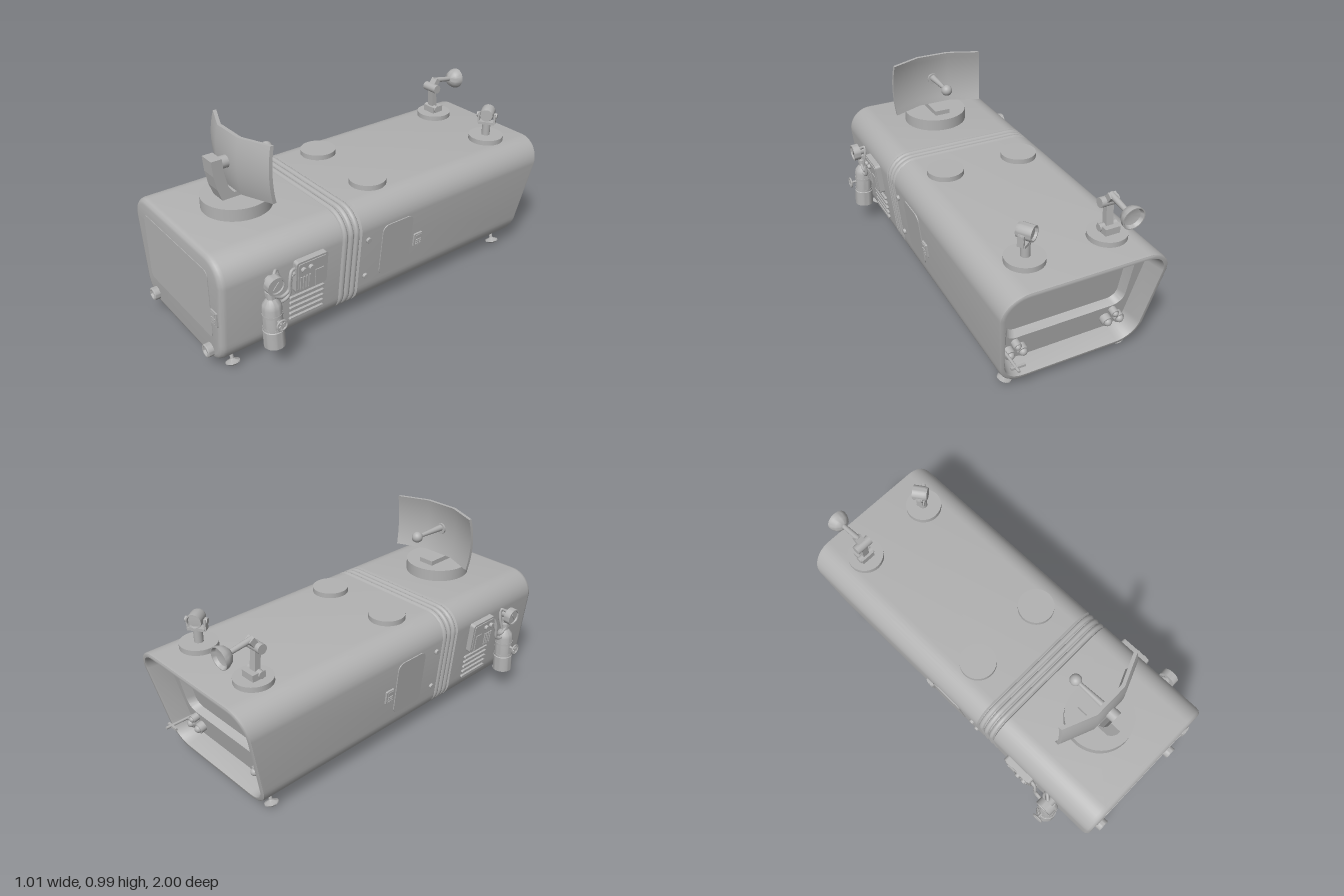
import * as THREE from 'three';
import { toCreasedNormals } from 'three/addons/utils/BufferGeometryUtils.js';

const SLOPE = 0.21; // lean of the tail end
const HALF = Math.PI / 2;

export function createModel() {
  const model = new THREE.Group();
  const grey = new THREE.MeshStandardMaterial({ color: 0xb2b2b2, side: THREE.DoubleSide });
  grey.name = 'plain grey';

  const add = (parent, name, geo, pos = [0, 0, 0], rot = [0, 0, 0]) => {
    const mesh = new THREE.Mesh(geo, grey);
    mesh.name = name;
    mesh.position.set(...pos);
    mesh.rotation.set(...rot);
    parent.add(mesh);
    return mesh;
  };
  const group = (parent, name, pos = [0, 0, 0], rot = [0, 0, 0]) => {
    const g = new THREE.Group();
    g.name = name;
    g.position.set(...pos);
    g.rotation.set(...rot);
    parent.add(g);
    return g;
  };
  const box = (w, h, d) => new THREE.BoxGeometry(w, h, d);
  const cyl = (r1, r2, h, n = 32) => new THREE.CylinderGeometry(r1, r2, h, n);
  const lathe = (pts, n = 32) => toCreasedNormals(
    new THREE.LatheGeometry(pts.map(p => new THREE.Vector2(...p)), n), 0.6);
  const tube = (pts, r) => new THREE.TubeGeometry(
    new THREE.CatmullRomCurve3(pts.map(p => new THREE.Vector3(...p))), 24, r, 8);
  const rod = (parent, name, a, b, r1, r2 = r1) => {
    const from = new THREE.Vector3(...a), dir = new THREE.Vector3(...b).sub(from);
    const m = add(parent, name, cyl(r2, r1, dir.length(), 16));
    m.position.copy(from).addScaledVector(dir, 0.5);
    m.quaternion.setFromUnitVectors(new THREE.Vector3(0, 1, 0), dir.normalize());
  };

  // Outline made of four corner arcs [centre x, centre y, radius], counter-clockwise
  const arcs = corners => corners.flatMap(([x, y, r], k) =>
    Array.from({ length: 11 }, (_, i) => {
      const a = (k + i / 10) * HALF;
      return new THREE.Vector2(x + r * Math.cos(a), y + r * Math.sin(a));
    }));
  const section = d => arcs([[0.285, 0.505, 0.125 - d], [-0.285, 0.505, 0.125 - d],
    [-0.245, 0.19, 0.13 - d], [0.245, 0.19, 0.13 - d]]);
  const rounded = (x, y, w, h, r) => {
    const a = w / 2 - r, b = h / 2 - r;
    return arcs([[x + a, y + b, r], [x - a, y + b, r], [x - a, y - b, r], [x + a, y - b, r]]);
  };
  const plate = (w, h, r, depth) => new THREE.ExtrudeGeometry(
    new THREE.Shape(rounded(0, 0, w, h, r)), { depth, bevelEnabled: false });
  const place = (pts, z, slope = 0) => pts.map(p =>
    new THREE.Vector3(p.x, p.y, z - slope * (p.y - 0.06)));

  // Skin over a row of equal outlines
  const loft = (rings, capStart, capEnd) => {
    const n = rings[0].length, pos = rings.flat().flatMap(p => [p.x, p.y, p.z]), idx = [];
    for (let i = 0; i < rings.length - 1; i++) for (let j = 0; j < n; j++) {
      const a = i * n + j, b = i * n + (j + 1) % n;
      idx.push(a, b, b + n, a, b + n, a + n);
    }
    const last = (rings.length - 1) * n;
    for (let j = 1; j < n - 1; j++) {
      if (capStart) idx.push(0, j + 1, j);
      if (capEnd) idx.push(last, last + j, last + j + 1);
    }
    const g = new THREE.BufferGeometry();
    g.setAttribute('position', new THREE.Float32BufferAttribute(pos, 3));
    g.setIndex(idx);
    return toCreasedNormals(g, 0.7);
  };

  // Hull: tail recess, slanted rim, ribbed joint, rounded nose
  const rings = [[-0.78, 0.045], [-0.872, 0.027], [-0.88, 0.022], [-0.88, 0.008], [-0.876, 0.002], [-0.865, 0]]
    .map(([z, d]) => place(section(d), z, SLOPE));
  rings.push(place(section(0), 0.222), place(section(0.012), 0.229));
  for (const c of [0.246, 0.28, 0.314]) for (let i = 0; i <= 8; i++) {
    const a = Math.PI * i / 8;
    rings.push(place(section(0.012 - 0.013 * Math.sin(a)), c - 0.014 * Math.cos(a)));
  }
  for (const [z, d] of [[0.331, 0.012], [0.338, 0], [0.94, 0], [0.956, 0.004], [0.967, 0.014], [0.97, 0.028]])
    rings.push(place(section(d), z));
  add(model, 'hull', loft(rings, false, true));

  // Tail wall with its sunken window
  const opening = rounded(0, 0.4, 0.62, 0.31, 0.06);
  const wallShape = new THREE.Shape(section(0.045));
  wallShape.holes.push(new THREE.Path(opening));
  const wall = new THREE.ShapeGeometry(wallShape);
  const wp = wall.attributes.position;
  for (let i = 0; i < wp.count; i++) wp.setZ(i, -0.78 - SLOPE * (wp.getY(i) - 0.06));
  wall.setIndex([...wall.index.array].reverse());
  wall.computeVertexNormals();
  add(model, 'tailWall', wall);
  add(model, 'tailWindow', loft([place(rounded(0, 0.4, 0.58, 0.27, 0.05), -0.74, SLOPE),
    place(opening, -0.78, SLOPE)], true, false));
  for (const s of [-1, 1]) {
    const lights = group(model, 'tailLights', [s * 0.255, 0.175, -0.805], [-0.208, 0, 0]);
    for (const [x, y, r] of [[-0.032, 0, 0.027], [0.032, 0, 0.027], [0, 0.045, 0.02]]) {
      add(lights, 'tailLight', cyl(r, r, 0.04, 24), [x, y, -0.012], [HALF, 0, 0]);
      add(lights, 'tailLens', new THREE.SphereGeometry(r * 0.75, 16, 10), [x, y, -0.03]);
    }
  }
  rod(model, 'tailBracket', [0.31, 0.19, -0.8], [0.31, 0.19, -0.96], 0.007);
  add(model, 'tailBracketBar', box(0.07, 0.012, 0.012), [0.3, 0.19, -0.93]);

  // Nose: windscreen, keypad and headlamps
  const keypad = (parent, pos, rot) => {
    const pad = group(parent, 'keypad', pos, rot);
    add(pad, 'keypadCase', plate(0.052, 0.075, 0.004, 0.01));
    add(pad, 'keypadScreen', box(0.036, 0.018, 0.004), [0, 0.022, 0.011]);
    for (let i = 0; i < 9; i++)
      add(pad, 'key', box(0.009, 0.009, 0.006), [(i % 3 - 1) * 0.012, -0.024 + Math.floor(i / 3) * 0.012, 0.012]);
  };
  add(model, 'windscreen', plate(0.61, 0.35, 0.03, 0.003), [0, 0.375, 0.97]);
  keypad(model, [0.338, 0.332, 0.968]);
  const lampProfile = [[0.033, 0], [0.033, 0.026], [0.029, 0.03], [0.023, 0.03], [0.021, 0.018], [0, 0.022]];
  for (const s of [-1, 1]) add(model, 'headlamp', lathe(lampProfile), [s * 0.268, 0.117, 0.97], [HALF, 0, 0]);

  // Feet and underside fans
  const footProfile = [[0, -0.011], [0.022, -0.009], [0.035, 0], [0.034, 0.005], [0.014, 0.013], [0.009, 0.018], [0.009, 0.075]];
  const fanProfile = [[0.088, 0.03], [0.085, 0.008], [0.072, 0], [0.055, 0.001], [0.05, 0.02],
    [0.035, 0.02], [0.032, 0.007], [0.015, 0.003], [0, 0.003]];
  for (const s of [-1, 1]) {
    for (const z of [0.885, -0.81]) add(model, 'foot', lathe(footProfile), [s * 0.303, 0.021, z], [0, 0, s * 0.33]);
    for (const z of [0.73, -0.73]) add(model, 'bellyFan', lathe(fanProfile), [s * 0.16, 0.032, z]);
  }

  // Belly hatch with grille and pipe
  add(model, 'bellyHatch', plate(0.25, 0.31, 0.02, 0.012), [0, 0.062, -0.41], [HALF, 0, 0]);
  for (let i = 0; i < 5; i++) add(model, 'bellySlat', box(0.014, 0.01, 0.22), [-0.08 + i * 0.04, 0.048, -0.42]);
  add(model, 'bellyBox', box(0.08, 0.016, 0.07), [-0.06, 0.054, -0.135]);
  add(model, 'bellyPipe', tube([[-0.04, 0.05, -0.16], [-0.02, 0.045, -0.2], [0.05, 0.045, -0.19], [0.07, 0.045, -0.23], [0.06, 0.05, -0.28]], 0.009));

  // Sides, built once and mirrored
  for (const s of [1, -1]) {
    const flank = group(model, s > 0 ? 'leftFlank' : 'rightFlank');
    flank.scale.x = s;
    const side = group(flank, 'sidePanels', [0.3925, 0.347, 0], [0, 0, -0.1107]);
    const out = [0, HALF, 0];
    add(side, 'door', plate(0.19, 0.3, 0.035, 0.005), [0, 0.003, 0], out);
    keypad(side, [0, -0.012, -0.14], out);
    for (const y of [-0.105, 0.11]) add(side, 'bolt', cyl(0.013, 0.015, 0.02, 16), [0.002, y, 0.182], [0, 0, -HALF]);
    add(side, 'controlBox', plate(0.17, 0.17, 0.014, 0.028), [0, 0.085, 0.523], out);
    add(side, 'controlFace', plate(0.15, 0.15, 0.01, 0.004), [0.028, 0.085, 0.523], out);
    for (const z of [0.575, 0.535]) add(side, 'knob', cyl(0.012, 0.014, 0.016, 20), [0.038, 0.129, z], [0, 0, -HALF]);
    for (let i = 0; i < 4; i++) add(side, 'controlSlat', box(0.008, 0.07, 0.008), [0.034, 0.055, 0.54 + i * 0.015]);
    add(side, 'controlScreen', box(0.008, 0.09, 0.045), [0.032, 0.055, 0.485]);
    for (let i = 0; i < 5; i++)
      add(side, 'ventSlat', plate(0.19, 0.016, 0.0075, 0.012), [0, -0.04 - i * 0.031, 0.527], out);

    // Gas bottle with straps, wheel, gauge and hoses
    const bottle = group(flank, 'gasBottle', [0.43, 0.133, 0.735], [0, 0, 0.045]);
    add(bottle, 'tank', lathe([[0, 0], [0.05, 0], [0.05, 0.085], [0.046, 0.088], [0.046, 0.2], [0.042, 0.22],
      [0.028, 0.238], [0.021, 0.246], [0.021, 0.26], [0.026, 0.263], [0.026, 0.282], [0.016, 0.285], [0.016, 0.31], [0, 0.31]]));
    for (const y of [0.095, 0.165]) add(bottle, 'strap', cyl(0.0475, 0.0475, 0.012), [0, y, 0]);
    add(flank, 'bottleBracket', box(0.05, 0.02, 0.05), [0.4, 0.27, 0.735]);
    rod(flank, 'valveStem', [0.44, 0.28, 0.735], [0.503, 0.28, 0.735], 0.007);
    add(flank, 'valveWheel', new THREE.TorusGeometry(0.025, 0.005, 8, 24), [0.5, 0.28, 0.735], out);
    for (let i = 0; i < 3; i++) add(flank, 'wheelSpoke', box(0.005, 0.05, 0.006), [0.5, 0.28, 0.735], [i * Math.PI / 3, 0, 0]);
    const gauge = group(flank, 'gauge', [0.437, 0.468, 0.735], [0, 0, -HALF - 0.05]);
    add(gauge, 'gaugeCase', lathe([[0, 0], [0.045, 0], [0.045, 0.036], [0.037, 0.036], [0.036, 0.028], [0, 0.028]]));
    add(gauge, 'gaugeNeedle', box(0.006, 0.004, 0.045), [0, 0.031, 0], [0, 0.9, 0]);
    rod(flank, 'gaugeMount', [0.4, 0.47, 0.735], [0.44, 0.47, 0.735], 0.022);
    for (const d of [0, 0.025])
      add(flank, 'hose', tube([[0.43, 0.395 - d, 0.735], [0.43, 0.37 - d, 0.69], [0.428, 0.385 - d, 0.65],
        [0.428, 0.44 - d, 0.64], [0.42, 0.475 - d, 0.625], [0.415, 0.477 - d, 0.59]], 0.008));
    add(flank, 'gaugeHose', tube([[0.43, 0.49, 0.725], [0.41, 0.505, 0.7], [0.415, 0.46, 0.69], [0.425, 0.4, 0.7]], 0.008));
  }

  // Roof turntables
  for (const s of [-1, 1]) for (const z of [0.03, -0.79])
    add(model, 'roofDisc', cyl(0.092, 0.092, 0.03, 40), [s * 0.205, 0.641, z]);
  add(model, 'dishTurntable', cyl(0.168, 0.168, 0.065, 48), [0, 0.658, 0.64]);

  // Curved dish on an L-shaped post, with its feed
  const post = new THREE.Shape([[-0.54, 0.69], [-0.73, 0.69], [-0.752, 0.75], [-0.766, 0.82], [-0.772, 0.895],
    [-0.718, 0.895], [-0.712, 0.82], [-0.695, 0.75], [-0.67, 0.715], [-0.54, 0.715]].map(p => new THREE.Vector2(...p)));
  add(model, 'dishPost', new THREE.ExtrudeGeometry(post, { depth: 0.084, bevelEnabled: false }), [-0.046, 0, 0], [0, HALF, 0]);
  const plan = [[-0.25, 0.585], [-0.09, 0.65], [0.09, 0.65], [0.25, 0.585]];
  const dishShape = new THREE.Shape([...plan, ...plan.map(([x, z]) => [x, z + 0.018]).reverse()]
    .map(([x, z]) => new THREE.Vector2(x, z)));
  const dish = new THREE.ExtrudeGeometry(dishShape, { depth: 0.28, steps: 10, bevelEnabled: false });
  dish.rotateX(HALF).translate(0, 1, 0);
  const dp = dish.attributes.position;
  for (let i = 0; i < dp.count; i++) {
    const bulge = 1 - ((dp.getY(i) - 0.86) / 0.14) ** 2;
    dp.setZ(i, dp.getZ(i) - 0.008 + 0.018 * bulge);
    dp.setX(i, dp.getX(i) * (0.985 + 0.03 * bulge));
  }
  add(model, 'dish', toCreasedNormals(dish, 0.5));
  rod(model, 'dishArm', [0, 0.86, 0.73], [0, 0.86, 0.65], 0.03);
  rod(model, 'dishFeedRod', [0, 0.865, 0.66], [0, 0.865, 0.47], 0.018, 0.009);
  add(model, 'dishFeedBall', new THREE.SphereGeometry(0.029, 24, 16), [0, 0.865, 0.465]);

  // Jointed searchlight at the rear
  const arm = group(model, 'searchlight', [-0.21, 0.655, -0.79]);
  add(arm, 'searchlightFoot', box(0.075, 0.035, 0.07), [0, 0.017, 0]);
  rod(arm, 'searchlightHinge', [-0.045, 0.022, 0.012], [0.045, 0.022, 0.012], 0.018);
  add(arm, 'searchlightLowerArm', box(0.036, 0.12, 0.03), [0, 0.08, 0.012], [0.1, 0, 0]);
  rod(arm, 'searchlightElbow', [-0.045, 0.145, 0.02], [0.045, 0.145, 0.02], 0.024);
  add(arm, 'searchlightNeck', box(0.04, 0.06, 0.03), [0, 0.165, 0.005], [-0.6, 0, 0]);
  rod(arm, 'searchlightUpperArm', [0, 0.185, 0.005], [0, 0.165, -0.125], 0.015, 0.012);
  add(arm, 'searchlightBowl', lathe([[0, 0], [0.022, 0.005], [0.042, 0.02], [0.053, 0.042], [0.055, 0.06],
    [0.05, 0.06], [0.042, 0.045], [0, 0.035]]), [0, 0.165, -0.108], [-HALF - 0.1, 0, 0]);

  // Swivel camera at the rear
  const cam = group(model, 'swivelCamera', [0.203, 0.655, -0.79], [0, 0.6, 0]);
  add(cam, 'cameraPost', cyl(0.022, 0.022, 0.07, 20), [0, 0.035, 0]);
  add(cam, 'cameraYoke', box(0.085, 0.014, 0.04), [0, 0.07, 0]);
  for (const s of [-1, 1]) {
    add(cam, 'cameraYokeArm', box(0.01, 0.055, 0.03), [s * 0.042, 0.095, 0]);
    add(cam, 'cameraPivot', cyl(0.014, 0.014, 0.014, 16), [s * 0.047, 0.112, 0], [0, 0, HALF]);
  }
  add(cam, 'cameraBarrel', lathe([[0, -0.035], [0.032, -0.035], [0.037, -0.02], [0.037, 0.04], [0.031, 0.04], [0.029, 0.028], [0, 0.03]]),
    [0, 0.12, 0], [-HALF, 0, 0]);
  return model;
}
